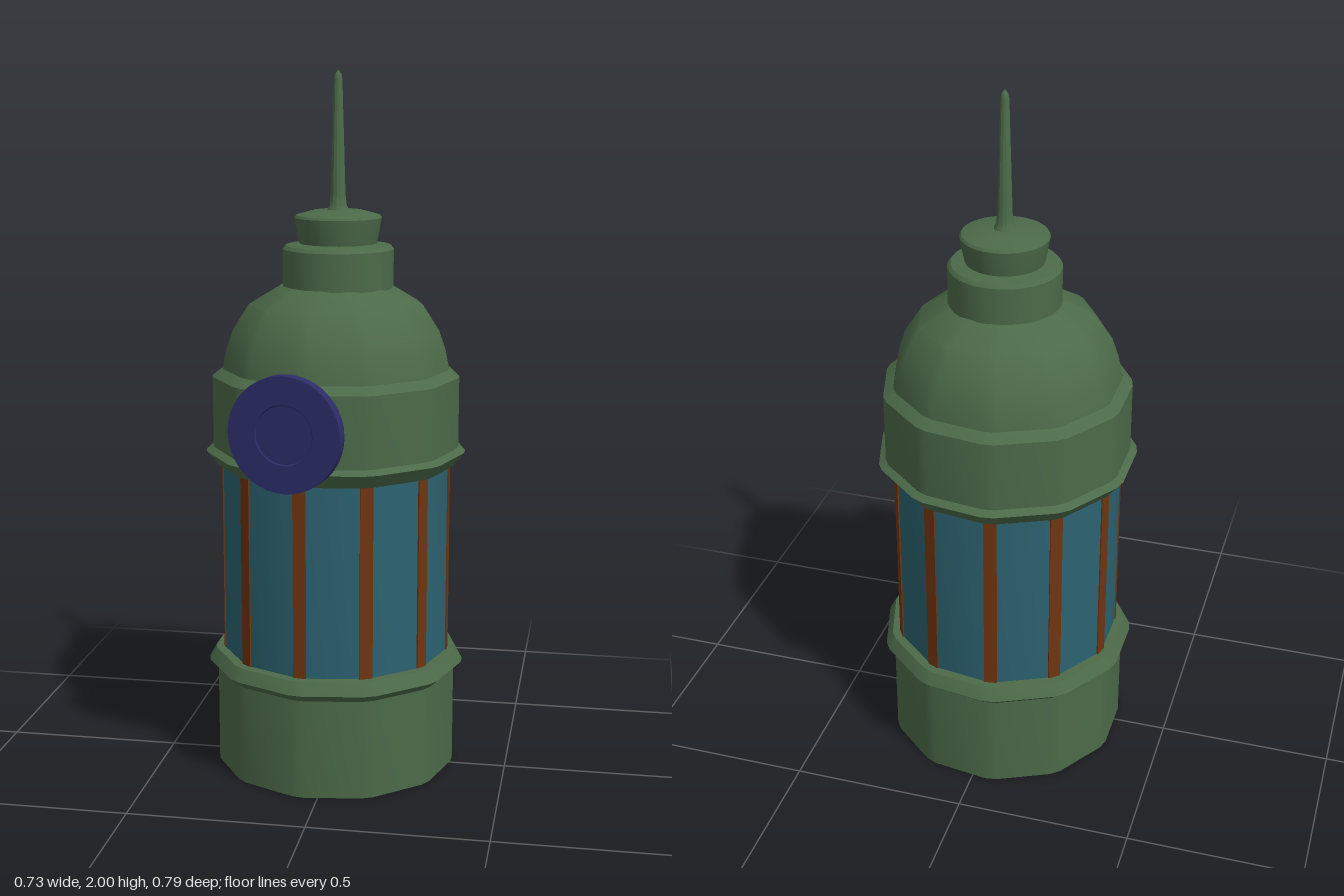
import * as THREE from 'three';
import { toCreasedNormals } from 'three/addons/utils/BufferGeometryUtils.js';

const SIDES = 11;
const STEP = (Math.PI * 2) / SIDES;
const CHAMFER = 0.05; // half angle of each cut corner

const paint = (color) => new THREE.MeshStandardMaterial({ color });
const green = paint(0x4c6a49);
const teal = paint(0x2c6270);
const rust = paint(0x6e3511);
const navy = paint(0x2c2c68);
const black = paint(0x080808);

const toPoints = (profile) => profile.map(([r, y]) => new THREE.Vector2(r, y));

// Round turned part
function turned(name, profile, material, segments = 32) {
  const geometry = toCreasedNormals(new THREE.LatheGeometry(toPoints(profile), segments), 0.5);
  const mesh = new THREE.Mesh(geometry, material);
  mesh.name = name;
  return mesh;
}

// Eleven-sided part with chamfered corners, one corner on +x
function faceted(name, profile, material) {
  const geometry = new THREE.LatheGeometry(toPoints(profile), SIDES * 2);
  const pos = geometry.attributes.position;
  for (let i = 0; i < pos.count; i++) {
    const k = Math.floor(i / profile.length);
    const r = profile[i % profile.length][0];
    const a = Math.PI / 2 + Math.floor(k / 2) * STEP + (k % 2 ? CHAMFER : -CHAMFER);
    pos.setXYZ(i, r * Math.sin(a), pos.getY(i), r * Math.cos(a));
  }
  const mesh = new THREE.Mesh(toCreasedNormals(geometry, 0.5), material);
  mesh.name = name;
  return mesh;
}

export function createModel() {
  const model = new THREE.Group();
  model.name = 'domedTower';

  const body = new THREE.Group();
  body.name = 'body';
  body.position.set(-0.006, 0, -0.028);
  model.add(body);

  // Base with its flared rim
  body.add(faceted('base', [
    [0.347, 0], [0.347, 0.287], [0.372, 0.31], [0.352, 0.345], [0.3, 0.347],
  ], green));
  body.add(faceted('underside', [[0, 0], [0.347, 0]], black));

  // Glazed band and its corner ribs
  body.add(faceted('windows', [[0.326, 0.34], [0.326, 0.9]], teal));
  const ribGeometry = new THREE.BoxGeometry(0.02, 0.56, 0.037);
  for (let i = 0; i < SIDES; i++) {
    const rib = new THREE.Mesh(ribGeometry, rust);
    rib.name = 'windowRib';
    rib.position.set(0.319 * Math.cos(i * STEP), 0.62, 0.319 * Math.sin(i * STEP));
    rib.rotation.y = -i * STEP;
    body.add(rib);
  }

  // Upper drum, from its flared rim to the sloping ledge
  body.add(faceted('upperDrum', [
    [0.3, 0.895], [0.34, 0.895], [0.372, 0.935], [0.352, 0.948],
    [0.352, 1.15], [0.323, 1.172],
  ], green));

  // Dome
  body.add(faceted('dome', [
    [0.323, 1.17], [0.312, 1.225], [0.293, 1.28], [0.247, 1.352], [0.158, 1.405], [0.1, 1.405],
  ], green));

  // Stepped cap
  const top = new THREE.Group();
  top.name = 'cap';
  top.position.set(0, 0, -0.027);
  model.add(top);
  top.add(turned('neck', [
    [0.157, 1.39], [0.157, 1.508], [0.148, 1.518], [0.1, 1.525],
  ], green));
  top.add(turned('lid', [
    [0.107, 1.515], [0.113, 1.54], [0.123, 1.595], [0.118, 1.602], [0.07, 1.615], [0, 1.618],
  ], green));

  // Spire
  top.add(turned('spire', [
    [0.034, 1.61], [0.025, 1.628], [0.021, 1.66], [0.012, 1.975], [0.009, 1.988], [0, 2],
  ], green, 12));

  // Round plate turned slightly towards the right side
  const plate = new THREE.Group();
  plate.name = 'roundPlate';
  plate.position.set(-0.077, 1.05, 0.349);
  plate.rotation.y = -0.17;
  model.add(plate);
  const disc = turned('disc', [
    [0, -0.018], [0.16, -0.018], [0.16, 0.018], [0.083, 0.018], [0.08, 0.014], [0, 0.014],
  ], navy, 40);
  disc.rotation.x = Math.PI / 2;
  plate.add(disc);
  const mount = turned('plateMount', [[0.05, -0.06], [0.05, -0.017]], navy, 20);
  mount.rotation.x = Math.PI / 2;
  plate.add(mount);

  return model;
}
